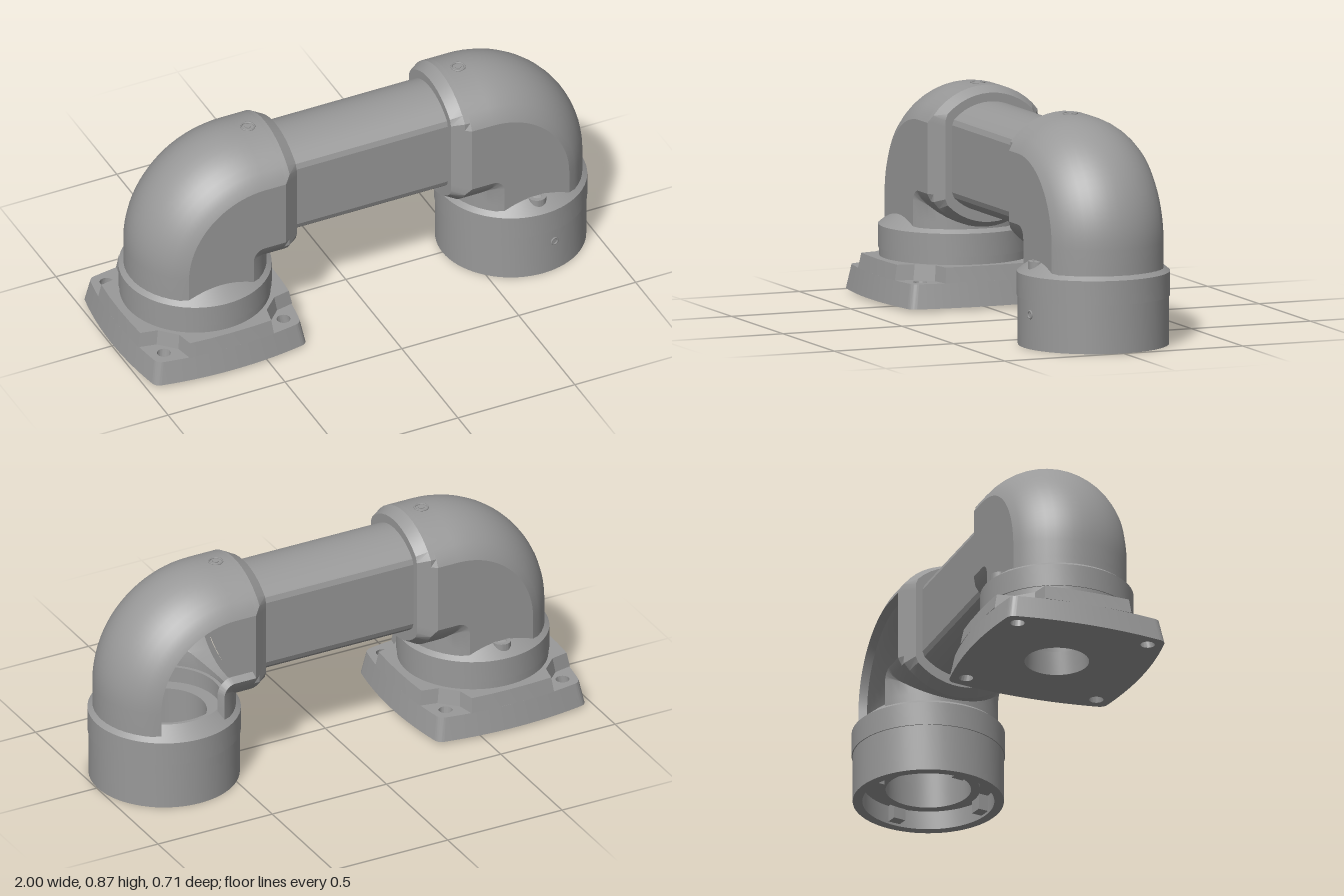
import * as THREE from 'three';
import { toCreasedNormals } from 'three/addons/utils/BufferGeometryUtils.js';

const R = 0.277;      // elbow section radius
const CY = 0.589;     // height of the horizontal axis
const BEND = 0.465;   // outer bend radius
const OFF = BEND - R;
const RAD = Math.PI / 180;

const metal = new THREE.MeshStandardMaterial({ color: 0x999999 });
metal.name = 'grey metal';

function add(parent, name, geo, x = 0, y = 0, z = 0) {
  const mesh = new THREE.Mesh(geo, metal);
  mesh.name = name;
  mesh.position.set(x, y, z);
  parent.add(mesh);
  return mesh;
}

// Circle flattened on both sides: [a, z], a pointing to the outside of the bend
function section(r, c, from = 0, to = 352.5) {
  const pts = [];
  for (let d = from; d <= to + 0.01; d += 7.5) {
    const z = r * Math.sin(d * RAD);
    pts.push([r * Math.cos(d * RAD), Math.max(-c, Math.min(c, z))]);
  }
  return pts;
}

// Skin closed rings of equal length
function loft(rings) {
  const pos = [];
  const n = rings[0].length;
  const tri = (a, b, c) => {
    const area = new THREE.Vector3().subVectors(b, a).cross(new THREE.Vector3().subVectors(c, a)).length();
    if (area > 1e-9) for (const p of [a, b, c]) pos.push(p.x, p.y, p.z);
  };
  for (let i = 0; i < rings.length - 1; i++) {
    for (let j = 0; j < n; j++) {
      const k = (j + 1) % n;
      tri(rings[i][j], rings[i][k], rings[i + 1][j]);
      tri(rings[i][k], rings[i + 1][k], rings[i + 1][j]);
    }
  }
  const geo = new THREE.BufferGeometry();
  geo.setAttribute('position', new THREE.Float32BufferAttribute(pos, 3));
  return toCreasedNormals(geo, 0.34);
}

// Rings of the vertical leg, the bend and the horizontal leg; the inside is mitred
const upright = (pts, y) => pts.map(([a, z]) => new THREE.Vector3(-a, Math.min(y, CY + a), z));
const level = (pts, x) => pts.map(([a, z]) => new THREE.Vector3(Math.max(x, -a), CY + a, z));
const bent = (pts, t) => pts.map(([a, z]) => a < -OFF
  ? new THREE.Vector3(-a, CY + a, z)
  : new THREE.Vector3(OFF - Math.cos(t) * (a + OFF), CY - OFF + Math.sin(t) * (a + OFF), z));

function elbowShell(open) {
  const pts = open
    ? [...section(R, 0.235, 120, 420), ...section(R - 0.03, 0.205, 120, 420).reverse()]
    : section(R, 0.235);
  const rings = [upright(pts, 0.265), upright(pts, 0.33)];
  for (let i = 0; i <= 20; i++) rings.push(bent(pts, (i / 20) * Math.PI / 2));
  rings.push(level(pts, R));
  return loft(rings);
}

// Chamfered mouth around the tube: x, radius, half width
function flange() {
  const steps = [[0.277, 0.2, 0.14], [0.277, R, 0.235], [0.3, R, 0.219], [0.345, 0.252, 0.188], [0.345, 0.2, 0.14]];
  return loft(steps.map(([x, r, c]) => level(section(r, c), x)));
}

function lathe(points, segments = 72) {
  return toCreasedNormals(new THREE.LatheGeometry(points.map(([x, y]) => new THREE.Vector2(x, y)), segments), 0.4);
}

// Collar with sloping top, hollow underneath
function collar() {
  return lathe([
    [0.165, 0.05], [0.2, 0.05], [0.2, 0.075], [0.255, 0.075], [0.255, 0], [0.292, 0], [0.292, 0.19],
    [0.296, 0.19], [0.296, 0.285], [0.235, 0.335], [0.22, 0.335], [0.22, 0.27], [0.165, 0.27], [0.165, 0.05],
  ]);
}

function buildElbow(name, open) {
  const g = new THREE.Group();
  g.name = name;
  add(g, 'elbowShell', elbowShell(open));
  add(g, 'elbowFlange', flange());
  add(g, 'collar', collar());
  // screw boss with a sunken centre
  add(g, 'screwBoss', lathe([[0.037, 0.26], [0.037, 0.335], [0.02, 0.335], [0.014, 0.315], [0, 0.315]], 24), 0, 0, -0.235);
  // rim of the screw hole on top
  const rim = new THREE.TorusGeometry(0.026, 0.004, 6, 24).rotateX(Math.PI / 2);
  add(g, 'topScrewRim', rim, 0.225, CY + R, 0);
  add(g, 'topScrewHead', new THREE.CylinderGeometry(0.013, 0.013, 0.004, 6), 0.225, CY + R, 0);
  return g;
}

// Bow-sided square with half width 0.355
function plateOutline() {
  const s = new THREE.Shape();
  const e = 0.295, w = 0.328;
  s.moveTo(-e, -w);
  s.quadraticCurveTo(0, -0.382, e, -w);
  s.quadraticCurveTo(w - 0.004, -w + 0.004, w, -e);
  s.quadraticCurveTo(0.382, 0, w, e);
  s.quadraticCurveTo(w - 0.004, w - 0.004, e, w);
  s.quadraticCurveTo(0, 0.382, -e, w);
  s.quadraticCurveTo(-w + 0.004, w - 0.004, -w, e);
  s.quadraticCurveTo(-0.382, 0, -w, -e);
  s.quadraticCurveTo(-w + 0.004, -w + 0.004, -e, -w);
  return s;
}

// Same outline with the four screw corners cut away
function cutOutline() {
  const s = new THREE.Shape();
  for (let q = 0; q < 4; q++) {
    const c = Math.round(Math.cos(q * Math.PI / 2)), n = Math.round(Math.sin(q * Math.PI / 2));
    const pts = [[0.205, -0.272], [0.272, -0.205], [0.347, -0.19], [0.353, -0.1], [0.355, 0], [0.353, 0.1], [0.347, 0.19], [0.272, 0.205]];
    pts.slice(1).forEach(([x, y], i) => {
      const px = x * c - y * n, py = x * n + y * c;
      if (q === 0 && i === 0) s.moveTo(px, py); else s.lineTo(px, py);
    });
  }
  s.closePath();
  return s;
}

function circleHole(shape, x, y, r) {
  const p = new THREE.Path();
  p.absarc(x, y, r, 0, Math.PI * 2, true);
  shape.holes.push(p);
}

// Extrude upwards and narrow towards the top
function taperedSlab(shape, y0, y1) {
  const geo = new THREE.ExtrudeGeometry(shape, { depth: y1 - y0, bevelEnabled: false, curveSegments: 20 });
  geo.rotateX(-Math.PI / 2).translate(0, y0, 0);
  const p = geo.attributes.position;
  for (let i = 0; i < p.count; i++) {
    const k = 1 - 0.085 * (p.getY(i) - 0.01) / 0.155;
    p.setX(i, p.getX(i) * k);
    p.setZ(i, p.getZ(i) * k);
  }
  return toCreasedNormals(geo, 0.4);
}

function basePlate() {
  const g = new THREE.Group();
  g.name = 'basePlate';
  const lower = plateOutline();
  for (const x of [-0.27, 0.27]) for (const y of [-0.27, 0.27]) circleHole(lower, x, y, 0.028);
  circleHole(lower, 0, 0, 0.125);
  add(g, 'plateLower', taperedSlab(lower, 0.01, 0.105));
  const upper = cutOutline();
  circleHole(upper, 0, 0, 0.125);
  add(g, 'plateUpper', taperedSlab(upper, 0.105, 0.165));
  return g;
}

export function createModel() {
  const model = new THREE.Group();
  model.name = 'supportArm';

  const right = buildElbow('baseElbow', false);
  right.position.set(-0.645, 0, 0);
  right.getObjectByName('collar').scale.y = 0.95;
  right.getObjectByName('collar').position.y = 0.016;
  const plate = basePlate();
  right.add(plate);

  const left = buildElbow('openElbow', true);
  left.position.set(0.705, 0, 0);
  left.rotation.y = Math.PI;

  // fixing lugs inside the open collar and its small side screw
  for (let i = 0; i < 4; i++) {
    const t = i * Math.PI / 2 + 0.17;
    const lug = add(left, 'collarLug', new THREE.BoxGeometry(0.05, 0.07, 0.045), Math.sin(t) * 0.235, 0.045, Math.cos(t) * 0.235);
    lug.rotation.y = t;
  }
  const screw = add(left, 'sideScrewRim', new THREE.TorusGeometry(0.014, 0.004, 6, 20), -0.05, 0.135, -0.288);
  screw.rotation.y = 0.17;

  // connecting tube, closed at both ends
  const tube = section(0.215, 0.16), end = section(0, 0);
  const ring = (pts, x) => pts.map(([a, z]) => new THREE.Vector3(x, CY + 0.003 + a, z));
  add(model, 'tube', loft([ring(end, -0.36), ring(tube, -0.36), ring(tube, 0.42), ring(end, 0.42)]));

  model.add(right, left);
  return model;
}
